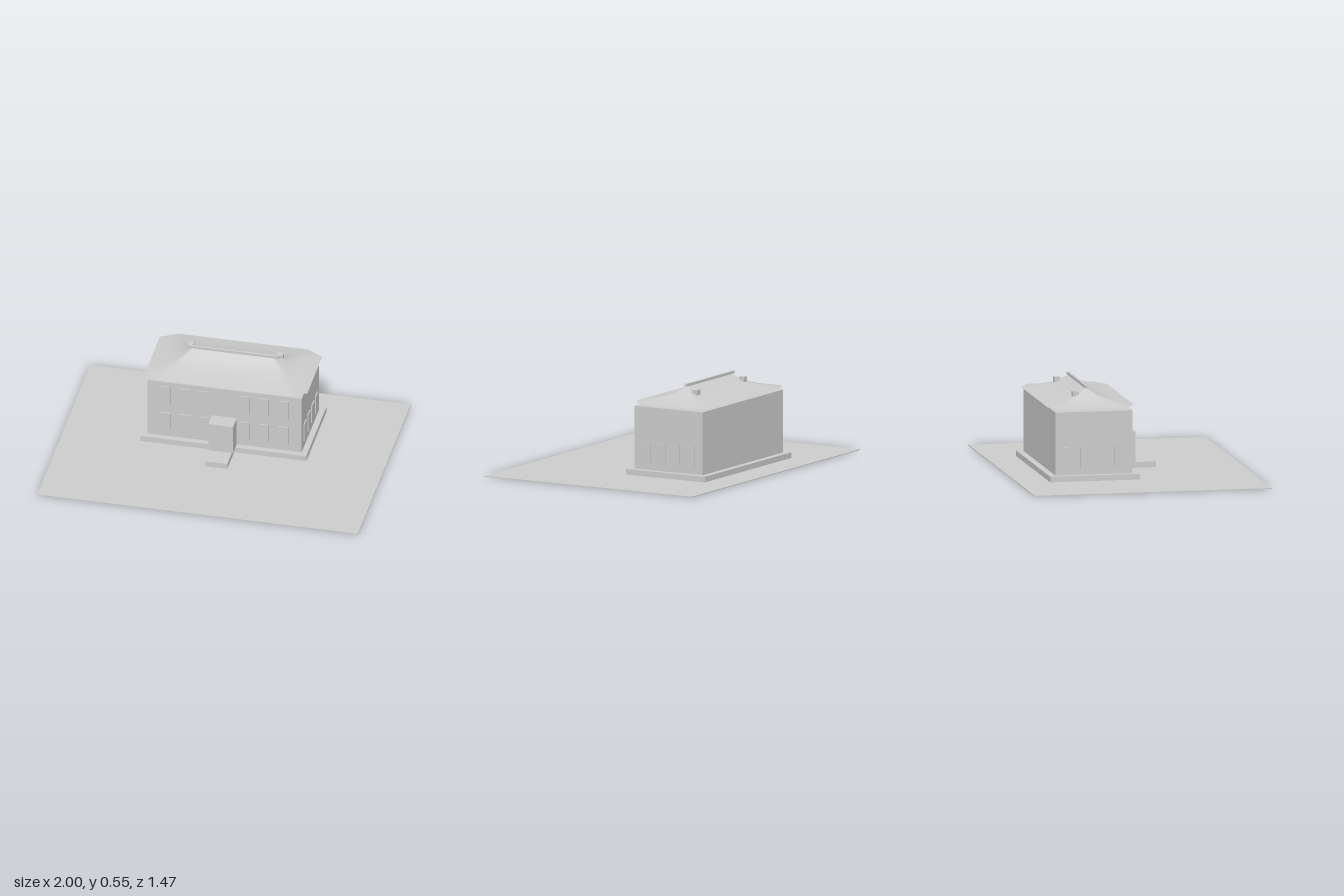
import * as THREE from 'three';

const stone = new THREE.MeshStandardMaterial({ color: 0xcccccc, side: THREE.DoubleSide });
stone.name = 'pale grey stone';

const CENTRE_Z = -0.265; // middle of the house, front to back

// Box given by its limits on each axis
function box(name, [x0, x1], [y0, y1], [z0, z1]) {
  const mesh = new THREE.Mesh(new THREE.BoxGeometry(x1 - x0, y1 - y0, z1 - z0), stone);
  mesh.position.set((x0 + x1) / 2, (y0 + y1) / 2, (z0 + z1) / 2);
  mesh.name = name;
  return mesh;
}

// Flared hip roof: eight-sided rings with clipped corners, shrinking to the ridge
function roofGeometry() {
  // half width, half depth, height
  const rings = [
    [0.507, 0.268, 0.449], [0.415, 0.18, 0.465], [0.36, 0.12, 0.481],
    [0.315, 0.065, 0.502], [0.25, 0.002, 0.54],
  ];
  const positions = [];
  const index = [];
  for (const [w, d, y] of rings) {
    const k = d / rings[0][1];
    const cx = 0.103 * k, cz = 0.06 * k;
    const outline = [
      [w - cx, d], [w, d - cz], [w, cz - d], [w - cx, -d],
      [cx - w, -d], [-w, cz - d], [-w, d - cz], [cx - w, d],
    ];
    for (const [x, z] of outline) positions.push(x, y, z);
  }
  for (let r = 0; r < rings.length - 1; r++) {
    for (let i = 0; i < 8; i++) {
      const a = r * 8 + i, b = r * 8 + (i + 1) % 8;
      index.push(a, b, b + 8, a, b + 8, a + 8);
    }
  }
  const geometry = new THREE.BufferGeometry();
  geometry.setAttribute('position', new THREE.Float32BufferAttribute(positions, 3));
  geometry.setIndex(index);
  geometry.computeVertexNormals();
  return geometry;
}

export function createModel() {
  const house = new THREE.Group();
  house.name = 'house';

  // Ground, base and walls
  house.add(
    box('ground', [-1, 1], [0, 0.005], [-0.737, 0.737]),
    box('plinth', [-0.517, 0.517], [0.004, 0.04], [-0.54, 0.018]),
    box('walls', [-0.48, 0.48], [0.04, 0.428], [-0.5, -0.02]),
  );

  // Entrance
  house.add(
    box('porch', [-0.08, 0.075], [0.04, 0.229], [-0.02, 0.081]),
    box('entranceStep', [-0.072, 0.067], [0.004, 0.04], [0.04, 0.208]),
  );

  // Two rows of front windows
  const windows = new THREE.Group();
  windows.name = 'windows';
  for (const x of [-0.369, -0.247, -0.128, 0.123, 0.241, 0.366]) {
    windows.add(box('lowerFrontWindow', [x - 0.034, x + 0.034], [0.088, 0.21], [-0.021, -0.012]));
    windows.add(box('upperFrontWindow', [x - 0.034, x + 0.034], [0.27, 0.397], [-0.021, -0.012]));
  }
  // One row on each end wall
  for (const z of [-0.103, -0.207, -0.312, -0.416]) {
    windows.add(box('leftWindow', [0.479, 0.487], [0.088, 0.21], [z - 0.032, z + 0.032]));
    windows.add(box('rightWindow', [-0.487, -0.479], [0.088, 0.21], [z - 0.032, z + 0.032]));
  }
  house.add(windows);

  // Roof, ridge beam and chimneys
  const roof = new THREE.Mesh(roofGeometry(), stone);
  roof.name = 'roof';
  roof.position.z = CENTRE_Z;
  house.add(roof, box('ridgeBeam', [-0.284, 0.282], [0.538, 0.554], [-0.273, -0.257]));
  for (const x of [-0.281, 0.277]) {
    house.add(box('chimney', [x - 0.019, x + 0.019], [0.428, 0.525], [-0.354, -0.317]));
  }
  return house;
}
